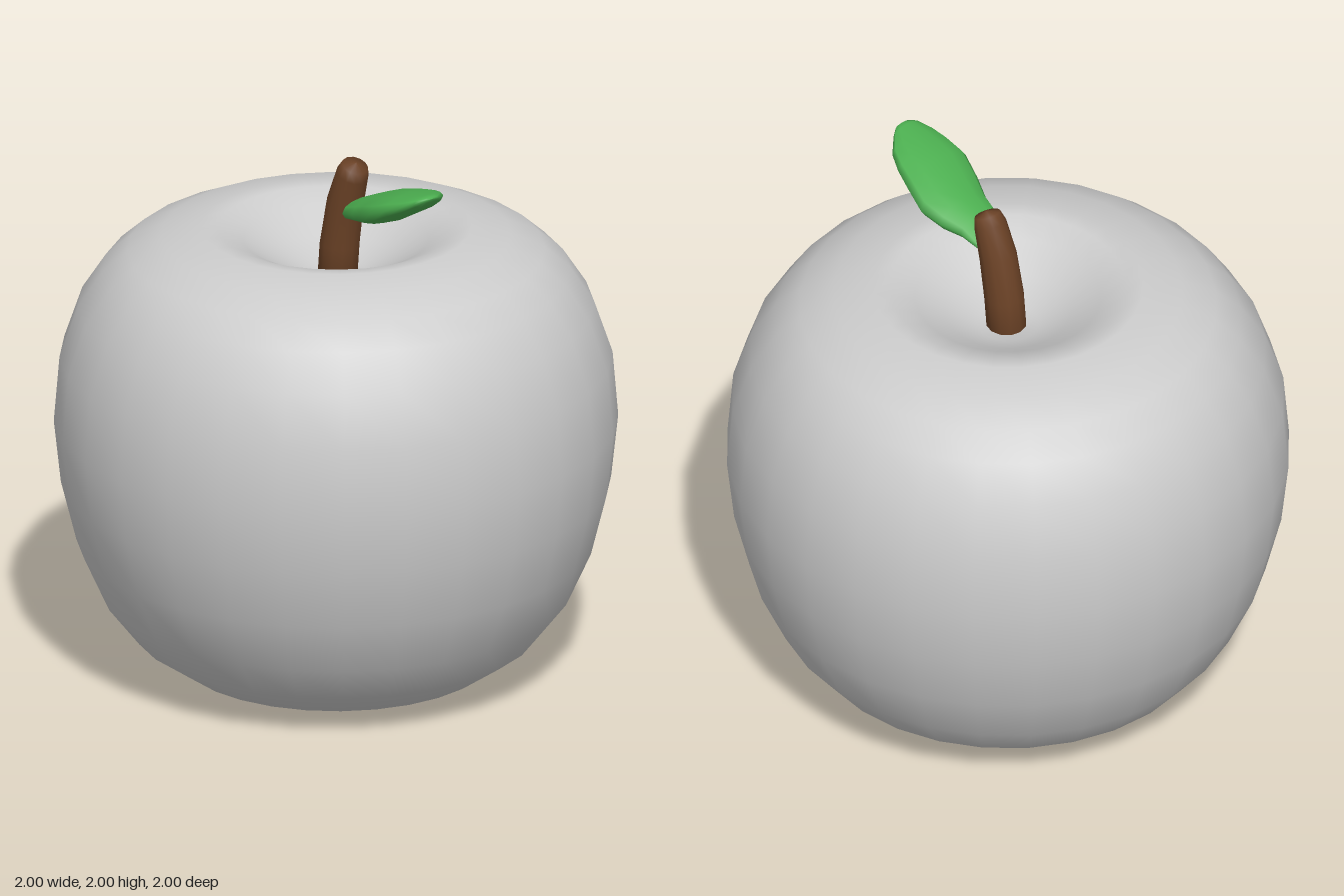
import * as THREE from 'three';

// Smooth closed surface through rings of points; first and last rings shrink to a tip
function loft(rings, sides, pointAt) {
  const pos = [], idx = [];
  rings.forEach((ring, i) => {
    for (let j = 0; j < sides; j++) pos.push(...pointAt(ring, (j / sides) * Math.PI * 2));
    if (i === 0) return;
    for (let j = 0; j < sides; j++) {
      const k = (j + 1) % sides, a = (i - 1) * sides, b = i * sides;
      idx.push(a + j, a + k, b + j, a + k, b + k, b + j);
    }
  });
  const g = new THREE.BufferGeometry();
  g.setAttribute('position', new THREE.Float32BufferAttribute(pos, 3));
  g.setIndex(idx);
  g.computeVertexNormals();
  return g;
}

export function createModel() {
  const group = new THREE.Group();
  const material = (name, color) => {
    const m = new THREE.MeshStandardMaterial({ color });
    m.name = name;
    return m;
  };
  const add = (name, geometry, mat) => {
    const mesh = new THREE.Mesh(geometry, mat);
    mesh.name = name;
    group.add(mesh);
  };

  // Fruit body: turned profile with a dimple below and a deeper one on top
  const profile = [
    [0, 0.07], [0.2, 0.04], [0.38, 0.003], [0.46, 0.015], [0.56, 0.05], [0.72, 0.16],
    [0.83, 0.3], [0.92, 0.5], [0.975, 0.72], [1, 0.95], [0.98, 1.19], [0.915, 1.38],
    [0.83, 1.51], [0.74, 1.59], [0.62, 1.645], [0.48, 1.675], [0.42, 1.67],
    [0.33, 1.63], [0.22, 1.56], [0.11, 1.51], [0, 1.49],
  ].map(([r, y]) => new THREE.Vector2(r, y));
  add('fruitBody', new THREE.LatheGeometry(profile, 28), material('pale grey', 0xcccccc));

  // Stem: [centre x, centre y, radius, tilt], leaning towards the left
  const stemRings = [
    [0.005, 1.46, 0, 0], [0.005, 1.46, 0.072, 0], [0.02, 1.62, 0.072, 0.1],
    [0.05, 1.78, 0.068, 0.25], [0.09, 1.9, 0.059, 0.4], [0.105, 1.935, 0.048, 0.42],
    [0.111, 1.948, 0, 0.42],
  ];
  add('stem', loft(stemRings, 12, ([x, y, r, tilt], a) => [
    x + r * Math.sin(a) * Math.cos(tilt),
    y - r * Math.sin(a) * Math.sin(tilt),
    r * Math.cos(a),
  ]), material('brown', 0x6b4226));

  // Leaf: [x, back z, front z, centre y, half thickness], thick in the middle and wavy at the rim
  const leafRings = [
    [0.115, 0.03, 0.03, 1.79, 0], [0.125, -0.03, 0.07, 1.79, 0.02], [0.2, -0.04, 0.14, 1.815, 0.04],
    [0.27, -0.07, 0.155, 1.835, 0.052], [0.35, -0.09, 0.19, 1.865, 0.058], [0.44, -0.065, 0.22, 1.9, 0.055],
    [0.51, -0.045, 0.21, 1.93, 0.045], [0.57, -0.015, 0.195, 1.953, 0.034], [0.62, 0.04, 0.165, 1.977, 0.022],
    [0.64, 0.07, 0.135, 1.987, 0.01], [0.645, 0.1, 0.1, 1.99, 0],
  ];
  add('leaf', loft(leafRings, 12, ([x, z0, z1, y, t], a) => [
    x,
    y + t * Math.cos(a),
    (z0 + z1) / 2 + ((z1 - z0) / 2) * Math.sin(a),
  ]), material('green', 0x4caf50));

  return group;
}
